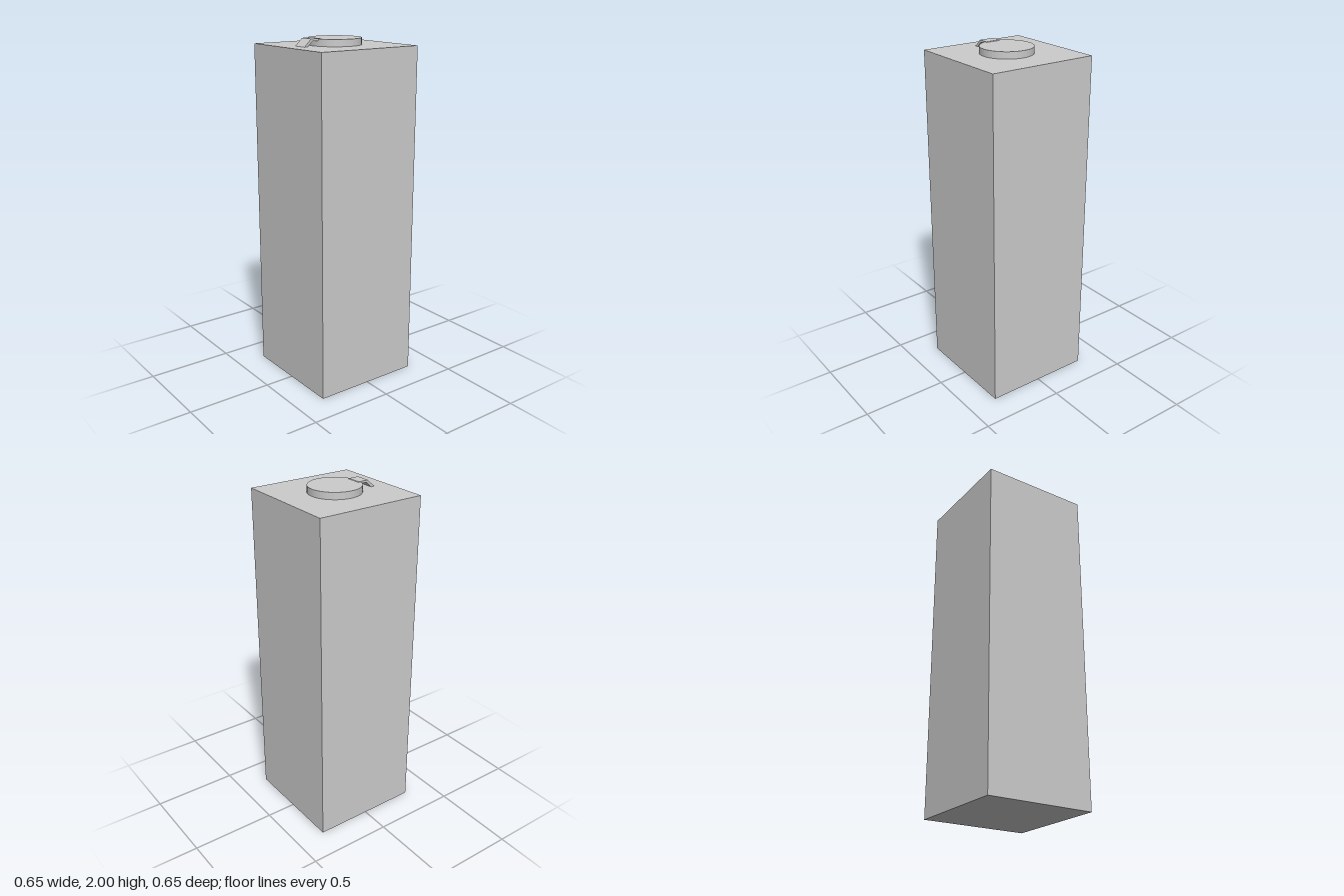
import * as THREE from 'three';

const material = new THREE.MeshStandardMaterial({ color: 0xcccccc, flatShading: true });

function addPart(group, name, geometry, x = 0, y = 0, z = 0) {
  const mesh = new THREE.Mesh(geometry, material);
  mesh.name = name;
  mesh.position.set(x, y, z);
  group.add(mesh);
  return mesh;
}

export function createModel() {
  const group = new THREE.Group();
  group.name = 'squareColumnWithCap';

  const side = 0.65, bodyTop = 1.958, capTop = 1.997;

  // Tall square body
  addPart(group, 'body', new THREE.BoxGeometry(side, bodyTop, side), 0, bodyTop / 2, 0);

  // Low round cap on top
  const capHeight = capTop - bodyTop;
  addPart(group, 'cap', new THREE.CylinderGeometry(0.15, 0.15, capHeight, 48), 0, bodyTop + capHeight / 2, 0);

  // Thin bent tab: lies on the cap, then slopes down to the body at the front
  const tabWidth = 0.088;
  const profile = new THREE.Shape([
    [0.125, capTop], [0.128, 2], [0.19, 2], [0.235, bodyTop],
    [0.213, bodyTop], [0.182, 1.988], [0.125, 1.988],
  ].map(([z, y]) => new THREE.Vector2(z, y)));
  const tab = new THREE.ExtrudeGeometry(profile, { depth: tabWidth, bevelEnabled: false });
  tab.translate(0, 0, -tabWidth / 2).rotateY(-Math.PI / 2);
  addPart(group, 'tab', tab);

  return group;
}
